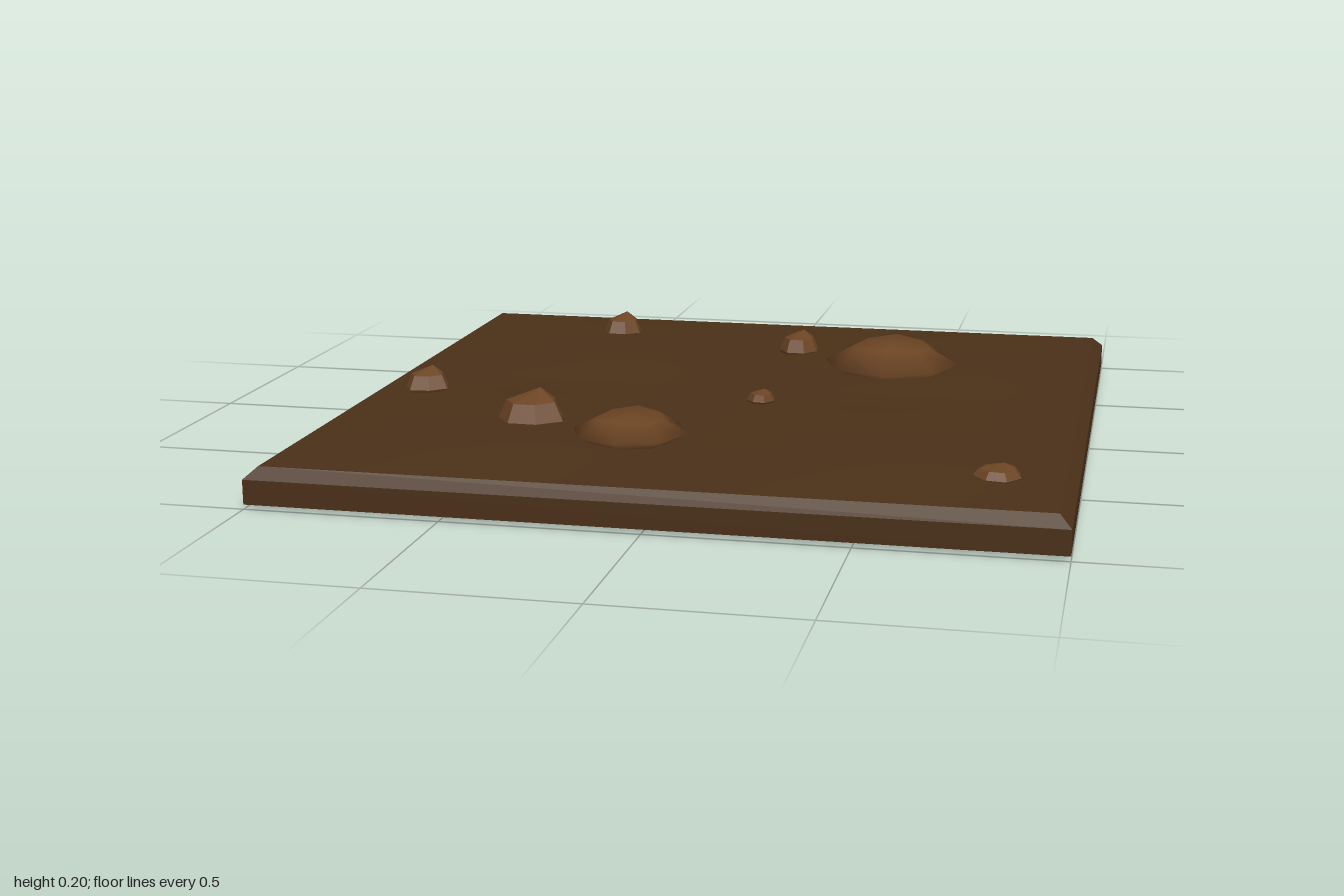
import * as THREE from 'three';
import { mergeVertices } from 'three/addons/utils/BufferGeometryUtils.js';

const soil = new THREE.MeshStandardMaterial({ color: 0x4a3018, flatShading: true });
const ground = new THREE.MeshStandardMaterial({ color: 0x4a3018 });
const clod = new THREE.MeshStandardMaterial({ color: 0x6b4423 });
const stone = new THREE.MeshStandardMaterial({ color: 0x6b4423, flatShading: true });

function add(group, name, geometry, material) {
  const mesh = new THREE.Mesh(geometry, material);
  mesh.name = name;
  group.add(mesh);
  return mesh;
}

// Moves every vertex by a rule, then rebuilds welded normals
function reshape(geometry, rule) {
  geometry.deleteAttribute('uv');
  geometry.deleteAttribute('normal');
  const p = geometry.attributes.position;
  const v = new THREE.Vector3();
  for (let i = 0; i < p.count; i++) {
    rule(v.fromBufferAttribute(p, i));
    p.setXYZ(i, v.x, v.y, v.z);
  }
  const welded = mergeVertices(geometry, 1e-5);
  welded.computeVertexNormals();
  return welded;
}

const profile = (pairs) => pairs.map(([x, y]) => new THREE.Vector2(x, y));

// Flattened eight-sided lump, its shoulder lower on the left and right
function moundGeometry(radius, height) {
  const points = profile([[0, -0.8], [0.6, -0.75], [1, 0], [0.6, 1], [0, 1]]);
  return reshape(new THREE.LatheGeometry(points, 8), (v) => {
    if (v.y > 0.5) v.y -= 0.9 * v.x * v.x;
    v.set(v.x * radius, v.y * height, v.z * radius);
  });
}

// Seven-sided stone with an off-centre peak
function stoneGeometry(radius, height, turn) {
  const points = profile([[0, -0.4], [0.7, -0.3], [1, 0.15], [0.74, 0.68], [0, 1]]);
  return reshape(new THREE.LatheGeometry(points, 7, turn), (v) => {
    const wobble = 1 + 0.06 * Math.sin(3 * Math.atan2(v.z, v.x) + turn);
    const lean = v.y > 0.9 ? 0.2 : 0;
    v.set((v.x * wobble + lean) * radius, v.y * height, (v.z * wobble - lean) * radius);
  });
}

export function createModel() {
  const group = new THREE.Group();
  group.name = 'dirtTile';

  // Square slab with a bevelled rim and slightly sagging underside
  const rim = profile([[0, 0], [0.18, 0], [0.92, 0.008], [1, 0.012], [1, 0.075], [0.97, 0.103]]);
  rim.forEach((p) => { p.x *= Math.SQRT2; });
  add(group, 'slab', new THREE.LatheGeometry(rim, 4, Math.PI / 4), soil);

  // Gently rolling top
  const top = new THREE.PlaneGeometry(1.94, 1.94, 24, 24).rotateX(-Math.PI / 2);
  const wave = (t) => Math.abs(Math.sin((t / 0.97) * Math.PI));
  add(group, 'groundSurface', reshape(top, (v) => {
    v.y = 0.103 + 0.02 * wave(v.x) * wave(v.z);
  }), ground);

  // Large mounds: x, z, radius, height above the widest ring
  [[0.41, -0.38, 0.195, 0.06], [-0.14, 0.55, 0.15, 0.045]].forEach(([x, z, r, h], i) => {
    add(group, `mound${i + 1}`, moundGeometry(r, h), clod).position.set(x, 0.13, z);
  });

  // Small stones: x, z, radius, peak height
  [
    [-0.435, 0.435, 0.09, 0.2],
    [-0.835, 0.13, 0.063, 0.175],
    [-0.485, -0.7, 0.061, 0.18],
    [0.105, -0.56, 0.061, 0.175],
    [0.11, 0.075, 0.039, 0.14],
    [0.81, 0.71, 0.06, 0.14],
  ].forEach(([x, z, r, peak], i) => {
    const base = 0.105;
    add(group, `stone${i + 1}`, stoneGeometry(r, peak - base, 0.4 + i * 0.9), stone).position.set(x, base, z);
  });

  return group;
}
